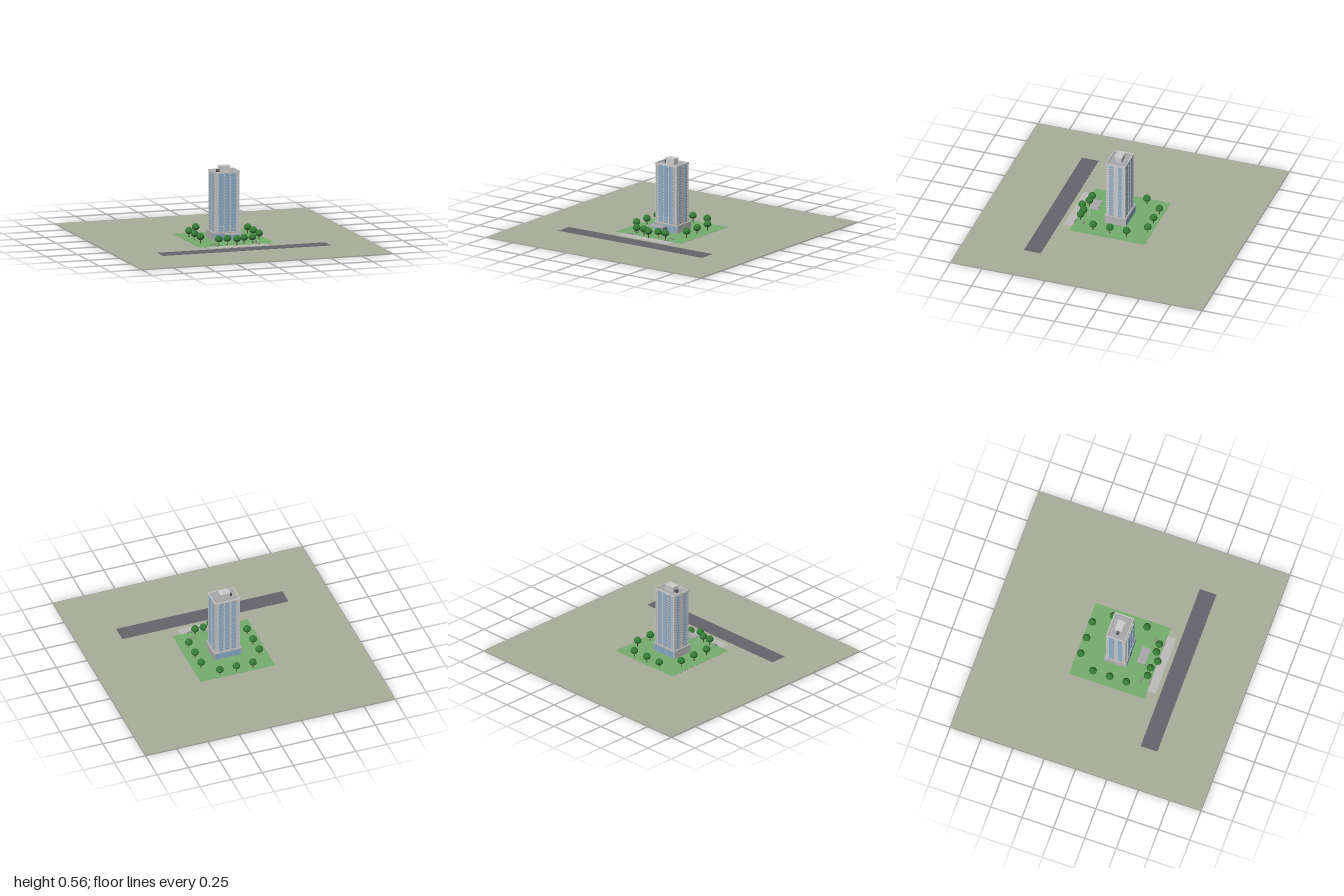
import * as THREE from 'three';

const mat = (color) => new THREE.MeshStandardMaterial({ color });
const M = {
  ground: mat(0xa8ae9a), grass: mat(0x76ad70), paving: mat(0xbdbbb8), road: mat(0x66656b),
  wall: mat(0xcccccc), slab: mat(0xb4b4b4), roof: mat(0xa9a9ab), dark: mat(0x55555a),
  glass: mat(0x86a9c8), leaf: mat(0x357a35), trunk: mat(0x5f4530), wood: mat(0x8f8a84),
};

// Box centred on x, z and standing on y
function box(parent, name, w, h, d, x, y, z, material) {
  const mesh = new THREE.Mesh(new THREE.BoxGeometry(w, h, d), material);
  mesh.name = name;
  mesh.position.set(x, y + h / 2, z);
  parent.add(mesh);
  return mesh;
}

function group(parent, name) {
  const g = new THREE.Group();
  g.name = name;
  parent.add(g);
  return g;
}

const G = 0.004; // ground level
const FLOOR = 0.0213, FLOORS = 21, BASE = 0.067;
const TOP = BASE + FLOOR * FLOORS;
const COLS = [-0.05, 0, 0.05];

function buildSite(root) {
  const site = group(root, 'site');
  box(site, 'ground', 2, G, 2, 0, 0, 0, M.ground);
  box(site, 'lawn', 0.6, 0.001, 0.6, 0, G, 0, M.grass);
  box(site, 'pavement', 0.467, 0.001, 0.067, 0, G, 0.333, M.paving);
  box(site, 'road', 1.333, 0.001, 0.133, 0, G, 0.467, M.road);
}

function buildPodium(root) {
  const podium = group(root, 'podium');
  box(podium, 'podiumBody', 0.224, BASE - G, 0.172, 0, G, 0, M.slab);
  for (const s of [-1, 1]) {
    box(podium, 'podiumGlass', 0.208, 0.048, 0.004, 0, G + 0.004, s * 0.086, M.glass);
    for (let i = -3; i <= 3; i++)
      box(podium, 'podiumMullion', 0.002, 0.048, 0.006, i * 0.034, G + 0.004, s * 0.086, M.slab);
  }
  box(podium, 'entranceDoor', 0.04, 0.035, 0.007, 0, G, 0.086, M.dark);
}

function buildTower(root) {
  const tower = group(root, 'tower');
  box(tower, 'towerBody', 0.194, TOP - BASE, 0.142, 0, BASE, 0, M.wall);

  // Piers between the window columns, front and back
  for (const s of [-1, 1])
    for (const x of [-0.075, -0.025, 0.025, 0.075])
      box(tower, 'pier', 0.009, TOP - BASE, 0.006, x, BASE, s * 0.073, M.wall);

  // Solid corners
  for (const x of [-0.094, 0.094])
    for (const z of [-0.071, 0.071])
      box(tower, 'corner', 0.01, TOP - BASE, 0.01, x, BASE, z, M.wall);

  // Repeating floors: edge band, windows and front balconies
  for (let i = 0; i < FLOORS; i++) {
    const y = BASE + i * FLOOR;
    const floor = group(tower, 'floor');
    box(floor, 'floorBand', 0.198, 0.004, 0.147, 0, y, 0, M.slab);
    for (const x of COLS) {
      box(floor, 'frontWindow', 0.04, 0.015, 0.004, x, y + 0.005, 0.072, M.glass);
      box(floor, 'backWindow', 0.034, 0.013, 0.005, x, y + 0.006, -0.072, M.glass);
      if (i >= 3) {
        box(floor, 'balconySlab', 0.04, 0.003, 0.016, x, y, 0.081, M.slab);
        box(floor, 'balconyRail', 0.04, 0.01, 0.002, x, y + 0.003, 0.088, M.glass);
      }
    }
    for (const x of [-0.098, 0.098])
      for (const z of [-0.035, 0.035])
        box(floor, 'sideWindow', 0.006, 0.012, 0.033, x, y + 0.006, z, M.glass);
  }
}

function buildRoof(root) {
  const roof = group(root, 'roof');
  box(roof, 'roofDeck', 0.2, 0.003, 0.15, 0, TOP, 0, M.roof);
  for (const s of [-1, 1]) {
    box(roof, 'parapet', 0.204, 0.013, 0.007, 0, TOP, s * 0.0735, M.wall);
    box(roof, 'parapet', 0.007, 0.013, 0.14, s * 0.0985, TOP, 0, M.wall);
  }
  box(roof, 'plantRoom', 0.076, 0.04, 0.052, 0, TOP + 0.003, 0, M.wall);
  box(roof, 'plantRoomCap', 0.084, 0.006, 0.06, 0, TOP + 0.043, 0, M.wall);
  box(roof, 'ventUnit', 0.022, 0.02, 0.02, -0.05, TOP + 0.003, 0, M.dark);
}

function buildCanopy(root) {
  const canopy = group(root, 'entranceCanopy');
  box(canopy, 'canopyRoof', 0.133, 0.004, 0.066, 0, 0.07, 0.19, M.roof);
  const pole = new THREE.CylinderGeometry(0.002, 0.002, 0.07 - G, 8);
  for (const x of [-0.058, 0.058]) {
    const mesh = new THREE.Mesh(pole, M.wall);
    mesh.name = 'canopyPost';
    mesh.position.set(x, (0.07 + G) / 2, 0.22);
    canopy.add(mesh);
  }
}

function buildBenches(root) {
  for (const x of [-0.167, 0.167])
    for (const z of [0.23, 0.297]) {
      const bench = group(root, 'bench');
      bench.position.set(x, G, z);
      box(bench, 'benchSeat', 0.036, 0.003, 0.012, 0, 0.006, 0, M.wood);
      for (const s of [-1, 1]) box(bench, 'benchLeg', 0.004, 0.006, 0.01, s * 0.013, 0, 0, M.dark);
    }
}

function buildTrees(root) {
  const trunk = new THREE.CylinderGeometry(0.0025, 0.0035, 0.036, 8);
  // Rounded crown narrowing towards the trunk
  const crown = new THREE.LatheGeometry(new THREE.SplineCurve([
    [0, 0.03], [0.014, 0.033], [0.026, 0.043], [0.029, 0.055],
    [0.024, 0.068], [0.014, 0.079], [0, 0.084],
  ].map(([r, y]) => new THREE.Vector2(r, y))).getPoints(14).map((p) => p.setX(Math.max(0, p.x))), 16);
  const spots = [[0, -0.267], [0, 0.3]];
  for (const s of [-1, 1])
    spots.push([s * 0.133, -0.267], [s * 0.233, -0.133], [s * 0.233, 0],
      [s * 0.233, 0.133], [s * 0.133, 0.267], [s * 0.067, 0.267]);
  for (const [x, z] of spots) {
    const tree = group(root, 'tree');
    tree.position.set(x, 0, z);
    const t = new THREE.Mesh(trunk, M.trunk);
    t.name = 'trunk';
    t.position.y = G + 0.018;
    const c = new THREE.Mesh(crown, M.leaf);
    c.name = 'crown';
    tree.add(t, c);
  }
}

export function createModel() {
  const root = new THREE.Group();
  root.name = 'towerBlock';
  for (const build of [buildSite, buildPodium, buildTower, buildRoof, buildCanopy, buildBenches, buildTrees])
    build(root);
  return root;
}
